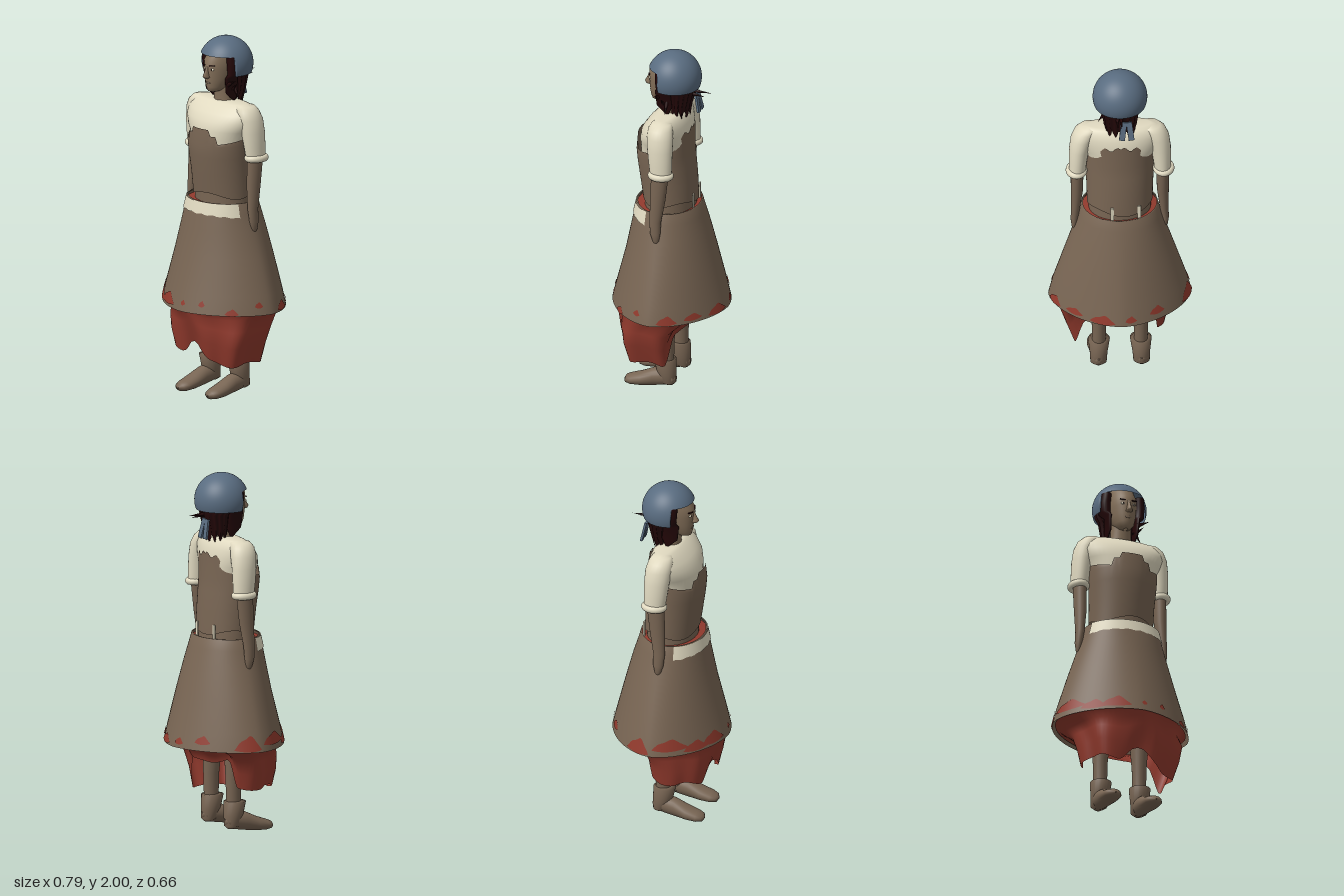
import * as THREE from 'three';

const mat = (name, color, side = THREE.DoubleSide) =>
  Object.assign(new THREE.MeshStandardMaterial({ color, side }), { name });

// Point on a superelliptic ring [y, cx, cz, rx, rz, exponent]; angle 0 faces +z
function ringPoint([y, cx, cz, rx, rz, e = 2], a, grow = 0) {
  const p = (v) => Math.sign(v) * Math.abs(v) ** (2 / e);
  return [cx + (rx + grow) * p(Math.sin(a)), y, cz + (rz + grow) * p(Math.cos(a))];
}

// Surface from a grid of points, at(row, column), rows running upwards
function grid(rows, cols, closed, at) {
  const pos = [], idx = [], n = closed ? cols : cols + 1;
  for (let i = 0; i <= rows; i++) for (let j = 0; j < n; j++) pos.push(...at(i, j));
  for (let i = 0; i < rows; i++) for (let j = 0; j < cols; j++) {
    const a = i * n + j, b = i * n + (j + 1) % n;
    idx.push(a, b, b + n, a, b + n, a + n);
  }
  const g = new THREE.BufferGeometry();
  g.setAttribute('position', new THREE.Float32BufferAttribute(pos, 3));
  g.setIndex(idx);
  g.computeVertexNormals();
  return g;
}

// Closed loft through rings; bend may move each point
function loft(rings, seg = 32, bend = (p) => p) {
  return grid(rings.length - 1, seg, true, (i, j) => {
    const a = j / seg * Math.PI * 2;
    return bend(ringPoint(rings[i], a), i, a > Math.PI ? a - Math.PI * 2 : a);
  });
}

// Skirt rings from hem to waist
const SKIRT = [
  [0.5, 0, 0, 0.393, 0.33, 1.7], [0.6, 0, 0, 0.369, 0.305, 1.72], [0.8, 0, 0, 0.305, 0.253, 1.8],
  [0.95, 0, 0.005, 0.255, 0.217, 1.9], [1.04, 0, 0.01, 0.226, 0.193, 2], [1.1, 0, 0.012, 0.21, 0.178, 2],
];
function skirtAt(y) {
  let i = 0;
  while (i < SKIRT.length - 2 && y > SKIRT[i + 1][0]) i++;
  const t = (y - SKIRT[i][0]) / (SKIRT[i + 1][0] - SKIRT[i][0]);
  return SKIRT[i].map((v, k) => v + (SKIRT[i + 1][k] - v) * t);
}

// Thin patch lying on the skirt between two angles
function skirtPatch(a0, a1, low, high) {
  return grid(4, 28, false, (i, j) => {
    const t = j / 28, y = low(t) + (high(t) - low(t)) * i / 4;
    return ringPoint(skirtAt(y), a0 + (a1 - a0) * t, 0.005);
  });
}

export function createModel() {
  const model = new THREE.Group();
  model.name = 'dressedFigure';
  const brown = mat('brown cloth', 0x786553);
  const skin = mat('face skin', 0x836f59);
  const cream = mat('cream linen', 0xe0d9c0);
  const red = mat('red petticoat', 0x923a2d);
  const blue = mat('blue cap', 0x596c80);
  const dark = mat('dark hair', 0x230607);
  const add = (name, geo, material, x = 0, y = 0, z = 0) => {
    const m = new THREE.Mesh(geo, material);
    m.name = name;
    m.position.set(x, y, z);
    model.add(m);
    return m;
  };

  // Skirt with a cream waistband and red lining around the waist
  add('skirt', loft([...SKIRT, [1.1, 0, 0.012, 0.202, 0.17]], 72), brown);
  add('waistLining', loft([[1.08, 0, 0.012, 0.212, 0.18], [1.088, 0, 0.01, 0.15, 0.12]], 48), red);
  add('waistband', skirtPatch(-1.2, 1.2,
    (t) => 1.036 + 0.003 * Math.sin(t * 47) - 0.012 * Math.abs(2 * t - 1) ** 2, () => 1.099), cream);

  // Red cloth showing through near the hem: start angle, end angle, base height, patch height
  const patches = [
    [-1.5, -0.85, 0.53, 0.06], [-0.95, -0.55, 0.51, 0.05], [-0.65, -0.2, 0.515, 0.06], [0, 0.12, 0.535, 0.02],
    [0.36, 0.46, 0.54, 0.025], [0.75, 0.95, 0.5, 0.03], [1.2, 1.35, 0.54, 0.025], [1.75, 2.1, 0.505, 0.045],
    [2.2, 2.5, 0.515, 0.03], [2.6, 3.0, 0.505, 0.045], [3.2, 3.4, 0.52, 0.03], [3.6, 3.85, 0.535, 0.04],
    [4.2, 4.7, 0.505, 0.08],
  ];
  for (const [a0, a1, y, h] of patches) {
    add('hemPatch', skirtPatch(a0, a1, (t) => y + 0.01 - 0.01 * Math.sin(t * Math.PI),
      (t) => y + 0.01 + h * Math.sin(t * Math.PI) * (0.9 + 0.1 * Math.sin(t * 13))), red);
  }

  // Gathered petticoat: two low lobes in front, drawn up behind
  const hemY = (a) => {
    const back = THREE.MathUtils.smoothstep(Math.abs(a), 2.0, 2.35);
    return 0.23 - 0.035 * Math.sin(a) + 0.085 * Math.exp(-((a / 0.22) ** 2)) + 0.17 * back
      + 0.01 * Math.sin(5 * a);
  };
  add('petticoat', loft([
    [0, 0.01, 0.05, 0.245, 0.18, 2.5], [0, 0.02, 0.055, 0.275, 0.2, 2.4], [0, 0.025, 0.04, 0.3, 0.235, 2.1],
    [0, 0.01, 0, 0.315, 0.29, 1.8], [0, 0, 0, 0.375, 0.314, 1.7],
  ], 80, ([x, , z], i, a) => {
    const f = 1 + [0.05, 0.045, 0.04, 0.025, 0][i] * Math.sin(7 * a + 0.4 * i);
    const y = hemY(a);
    return [x * f, y + (0.515 - y) * [0, 0.35, 0.65, 0.85, 1][i], z * f];
  }), red);

  // Waist, blouse and bodice
  add('waist', loft([[1.05, 0, 0.005, 0.172, 0.14], [1.25, 0, 0.01, 0.165, 0.135]]), brown);
  add('blouse', loft([
    [1.36, 0, 0.025, 0.178, 0.138], [1.45, 0, 0.025, 0.186, 0.14], [1.5, 0, 0.025, 0.215, 0.14],
    [1.55, 0, 0.022, 0.236, 0.13], [1.59, 0, 0.012, 0.238, 0.112], [1.62, 0, 0.005, 0.232, 0.09],
    [1.642, 0, 0, 0.21, 0.068], [1.65, 0, 0, 0.17, 0.05], [1.652, 0, 0, 0.03, 0.02],
  ], 48), cream);
  const neckline = (a) => {
    const b = Math.abs(a);
    if (b < 0.33) return 1.51;
    if (b < 0.55) return 1.475;
    if (b < 1.6) return 1.43 + 0.03 * (b - 0.55);
    return 1.46 + 0.1 * Math.sin((b - 1.6) / 1.54 * Math.PI / 2) + 0.013 * Math.sin(b * 17);
  };
  add('bodice', loft([
    [1.12, 0, 0.005, 0.18, 0.15], [1.25, 0, 0.016, 0.183, 0.155], [1.35, 0, 0.028, 0.19, 0.157],
    [1.42, 0, 0.034, 0.194, 0.157], [1.5, 0, 0.031, 0.195, 0.152],
  ], 80, ([x, y, z], i, a) => [x,
    i === 4 ? neckline(a) : i === 0 ? 1.13 + 0.015 * Math.sin(3 * a + 1) : y, z]), brown);
  for (const [x, z] of [[0.05, -0.143], [-0.1, -0.126]]) {
    add('backLace', new THREE.BoxGeometry(0.018, 0.09, 0.008), cream, x, 1.13, z).rotation.y = x;
  }

  for (const s of [1, -1]) {
    const side = s > 0 ? 'left' : 'right';
    const mirrored = (rings) => loft(rings.map(([y, x, ...r]) => [y, x * s, ...r]), 24);

    // Sleeve, cuff, forearm and hand
    add(side + 'Sleeve', mirrored([
      [1.35, 0.235, -0.02, 0.046, 0.06], [1.42, 0.231, -0.015, 0.05, 0.066], [1.5, 0.224, -0.01, 0.055, 0.071],
      [1.57, 0.208, -0.005, 0.062, 0.074], [1.615, 0.188, 0, 0.062, 0.068], [1.64, 0.17, 0, 0.052, 0.054],
      [1.65, 0.155, 0, 0.008, 0.01],
    ]), cream);
    const cuff = add(side + 'Cuff', new THREE.TorusGeometry(0.052, 0.019, 12, 32), cream, s * 0.239, 1.355, -0.02);
    cuff.rotation.x = Math.PI / 2;
    cuff.scale.set(0.84, 1.03, 1);
    add(side + 'Arm', mirrored([
      [0.935, 0.25, 0.005, 0.003, 0.005], [0.955, 0.25, 0.005, 0.014, 0.018], [1.0, 0.25, 0.008, 0.02, 0.029],
      [1.07, 0.243, 0.01, 0.024, 0.033], [1.2, 0.236, -0.002, 0.033, 0.043], [1.37, 0.235, -0.015, 0.036, 0.05],
    ]), brown);

    // Leg and boot
    add(side + 'Leg', mirrored([[0.12, 0.115, -0.01, 0.036, 0.04], [0.3, 0.115, -0.01, 0.04, 0.045],
      [0.65, 0.11, 0, 0.065, 0.07]]), brown);
    add(side + 'BootShaft', mirrored([[0.03, 0.118, -0.03, 0.02, 0.02], [0.045, 0.118, -0.025, 0.045, 0.04],
      [0.1, 0.117, -0.012, 0.049, 0.055], [0.18, 0.115, -0.002, 0.06, 0.062], [0.183, 0.115, -0.005, 0.035, 0.035]]), brown);
    add(side + 'Foot', mirrored([
      [-0.068, 0.118, -0.07, 0.01, 0.012], [-0.052, 0.118, -0.07, 0.035, 0.035], [0, 0.118, -0.075, 0.045, 0.053],
      [0.06, 0.118, -0.064, 0.047, 0.052], [0.13, 0.12, -0.043, 0.053, 0.04], [0.19, 0.12, -0.031, 0.05, 0.03],
      [0.22, 0.12, -0.027, 0.035, 0.022], [0.232, 0.12, -0.025, 0.003, 0.003],
    ]).rotateX(Math.PI / 2), brown);

    // Eye, brow and hair framing the face
    const eye = add(side + 'Eye', new THREE.SphereGeometry(1, 12, 8), cream, s * 0.031, 1.836, 0.117);
    eye.scale.set(0.013, 0.007, 0.007);
    add(side + 'Iris', new THREE.SphereGeometry(0.005, 10, 8), dark, s * 0.031, 1.836, 0.121);
    const brow = add(side + 'Brow', new THREE.BoxGeometry(0.034, 0.005, 0.008), dark, s * 0.033, 1.858, 0.12);
    brow.rotation.set(0, s * 0.35, s * 0.15);
    add(side + 'FaceHair', mirrored([
      [1.655, 0.08, 0.0, 0.004, 0.01], [1.7, 0.08, 0.015, 0.012, 0.045], [1.785, 0.084, 0.025, 0.015, 0.045],
      [1.805, 0.098, 0.012, 0.031, 0.045], [1.86, 0.1, 0.018, 0.031, 0.045], [1.915, 0.095, 0.02, 0.03, 0.045],
    ]), dark);
  }

  // Neck, head and face
  add('neck', loft([[1.62, 0, -0.005, 0.07, 0.06], [1.66, 0, 0, 0.058, 0.052], [1.76, 0, 0.01, 0.054, 0.05]]), skin);
  add('head', loft([
    [1.7, 0, 0.075, 0.012, 0.018], [1.708, 0, 0.07, 0.032, 0.042], [1.735, 0, 0.045, 0.055, 0.075],
    [1.78, 0, 0.025, 0.069, 0.1], [1.83, 0, 0.015, 0.076, 0.113], [1.88, 0, 0.005, 0.08, 0.123],
    [1.94, 0, -0.01, 0.07, 0.1],
  ], 36), skin);
  add('nose', loft([[1.782, 0, 0.125, 0.006, 0.006], [1.79, 0, 0.129, 0.019, 0.022], [1.8, 0, 0.131, 0.014, 0.026],
    [1.825, 0, 0.125, 0.009, 0.018], [1.86, 0, 0.117, 0.008, 0.01]], 16), skin);
  const lips = add('lips', new THREE.SphereGeometry(1, 16, 8), brown, 0, 1.757, 0.115);
  lips.scale.set(0.021, 0.008, 0.01);

  // Hair under the cap, with loose ends
  add('backHair', loft([
    [1.645, 0, -0.05, 0.07, 0.05], [1.7, 0, -0.055, 0.088, 0.055], [1.78, 0, -0.06, 0.098, 0.07],
    [1.81, 0, -0.05, 0.122, 0.082], [1.88, 0, -0.045, 0.118, 0.08], [1.93, 0, -0.03, 0.09, 0.07],
  ], 64, ([x, y, z], i, a) => {
    const f = 1 + 0.05 * Math.sin(16 * a);
    return [x * f, i === 0 ? y + 0.022 * Math.sin(11 * a) : y, z * f];
  }), dark);
  const spikes = [[0, 1.78, -0.165, -Math.PI / 2, 0, 0.13], [0.02, 1.768, -0.15, -1.7, 0, 0.1],
    [0.115, 1.765, 0.05, 0, -1.1, 0.08], [0.1, 1.73, 0.02, 0, -0.8, 0.08], [0.1, 1.7, 0, 0, -2.6, 0.08]];
  for (const [x, y, z, rx, rz, h] of spikes) {
    add('looseStrand', new THREE.ConeGeometry(0.014, h, 8), dark, x, y, z).rotation.set(rx, 0, rz);
  }

  // Round cap, cut high over the face and low around the back
  add('cap', grid(20, 120, true, (i, j) => {
    const a = j / 120 * Math.PI * 2, front = Math.cos(a) > 0.39;
    const t = i >= 8 ? 1.16 * (20 - i) / 12 : front ? 1.16 : 1.91 - 0.75 * i / 8;
    const r = 0.15 * Math.sin(t);
    return [r * Math.sin(a), 1.85 + 0.15 * Math.cos(t), -0.015 + r * Math.cos(a)];
  }), blue);

  // Ribbon tails behind the cap
  for (const x of [-0.05, -0.01]) {
    const tail = add('ribbonTail', new THREE.BoxGeometry(0.032, 0.11, 0.012), blue, x, 1.705, -0.145);
    tail.rotation.set(0.2, 0, (x + 0.03) * 6);
  }
  return model;
}
